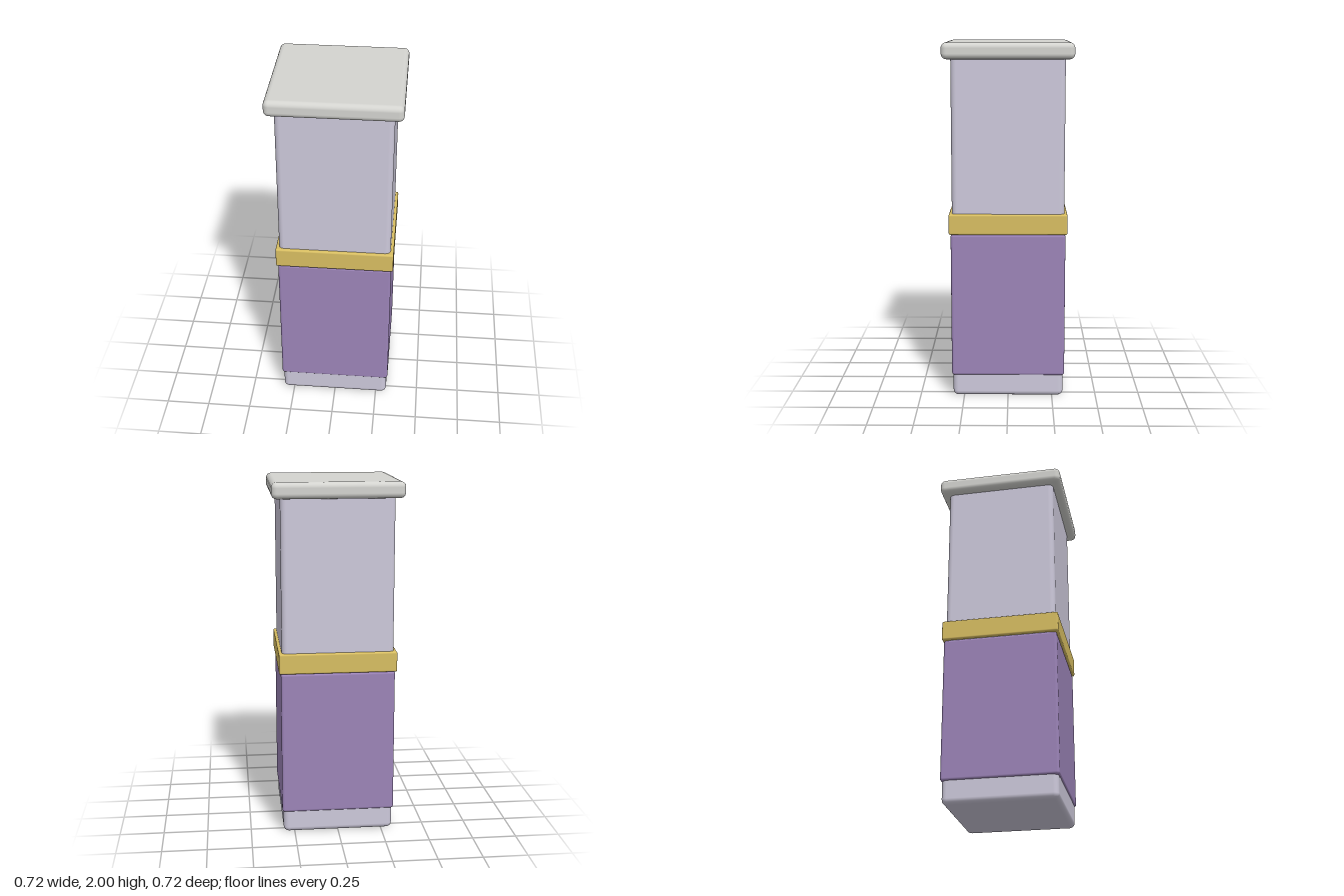
import * as THREE from 'three';
import { RoundedBoxGeometry } from 'three/addons/geometries/RoundedBoxGeometry.js';

function material(name, color) {
  const m = new THREE.MeshStandardMaterial({ color });
  m.name = name;
  return m;
}

export function createModel() {
  const group = new THREE.Group();
  group.name = 'squarePillar';

  const lilac = material('pale lilac', 0xcdc9db);
  const purple = material('purple', 0x9c84b8);
  const gold = material('gold', 0xd8be62);
  const grey = material('light grey', 0xd4d4d0);

  // square block with rounded edges, spanning y0 to y1
  function block(name, mat, width, y0, y1, radius) {
    const mesh = new THREE.Mesh(new RoundedBoxGeometry(width, y1 - y0, width, 3, radius), mat);
    mesh.name = name;
    mesh.position.y = (y0 + y1) / 2;
    group.add(mesh);
  }

  // inner column, visible above the band and at the foot
  block('column', lilac, 0.626, 0, 1.96, 0.03);
  // wrap around the lower half
  block('lowerSleeve', purple, 0.64, 0.125, 0.945, 0.015);
  // band at mid height
  block('band', gold, 0.66, 0.945, 1.06, 0.01);
  // overhanging lid
  block('cap', grey, 0.722, 1.91, 2, 0.03);

  return group;
}
